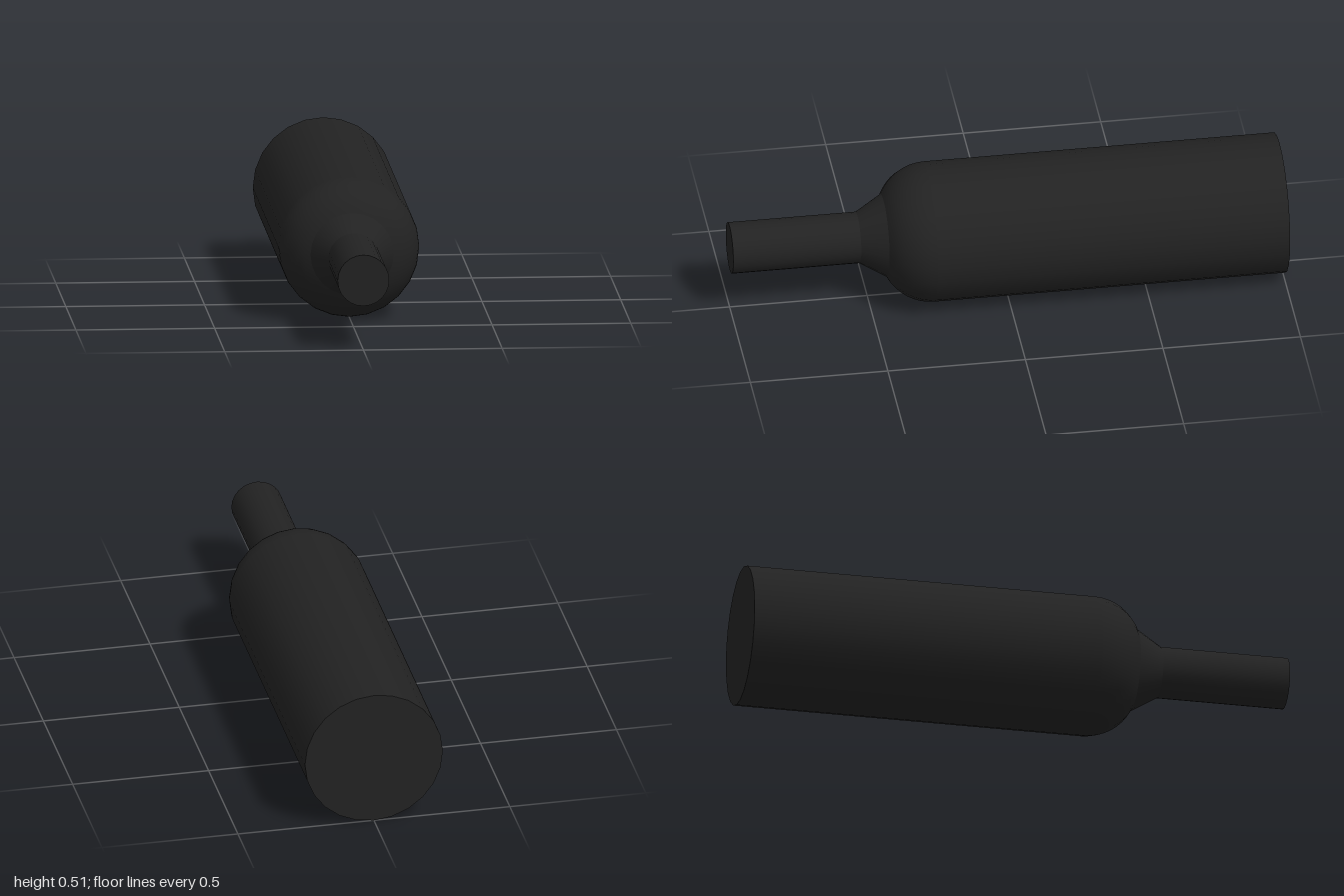
import * as THREE from 'three';

const SIDES = 24;
const R = 0.2535; // body radius, also the height of the axis
const NECK = 0.093;
const COLLAR = 0.15;

export function createModel() {
  const group = new THREE.Group();
  const material = new THREE.MeshStandardMaterial({ color: 0x222222 });

  // adds a round part whose axis is turned from y to +z
  function add(name, geometry) {
    geometry.rotateX(Math.PI / 2);
    const mesh = new THREE.Mesh(geometry, material);
    mesh.name = name;
    mesh.position.y = R;
    group.add(mesh);
  }

  // profile points are [radius, z], running from back to front
  function turned(name, profile) {
    add(name, new THREE.LatheGeometry(profile.map(([r, z]) => new THREE.Vector2(r, z)), SIDES));
  }

  function disc(name, radius, z, facingFront) {
    const cap = new THREE.CircleGeometry(radius, SIDES);
    cap.rotateX(facingFront ? -Math.PI / 2 : Math.PI / 2);
    cap.translate(0, z, 0);
    add(name, cap);
  }

  // main barrel with its flat back
  disc('backCap', R, -1, false);
  turned('body', [[R, -1], [R, 0.28]]);

  // rounded shoulder: an arc tangent to the barrel
  const arc = 0.184, end = Math.acos((COLLAR - R + arc) / arc);
  const shoulder = [];
  for (let i = 0; i <= 8; i++) {
    const a = (end * i) / 8;
    shoulder.push([R - arc + arc * Math.cos(a), 0.275 + arc * Math.sin(a)]);
  }
  turned('shoulder', shoulder);

  // tapered collar, then the thin stem
  turned('collar', [[COLLAR, 0.275 + arc * Math.sin(end)], [NECK, 0.535]]);
  turned('stem', [[NECK, 0.535], [NECK, 1]]);
  disc('stemCap', NECK, 1, true);

  return group;
}
